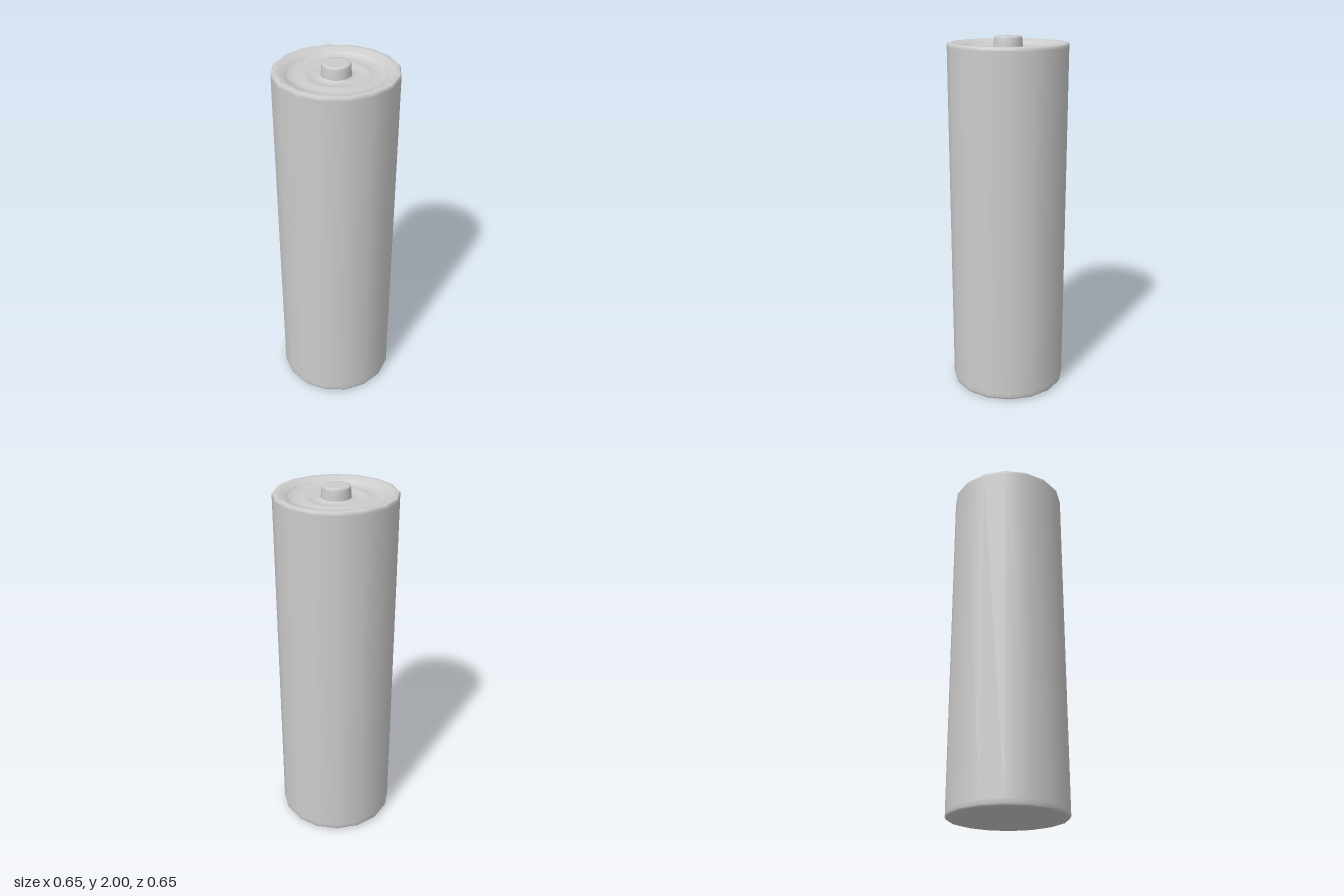
import * as THREE from 'three';

const SIDES = 16;
const material = new THREE.MeshStandardMaterial({ color: 0xcccccc });

// Revolve a profile of [radius, height] pairs around the y axis
function turned(name, profile) {
  const points = profile.map(([r, y]) => new THREE.Vector2(r, y));
  const mesh = new THREE.Mesh(new THREE.LatheGeometry(points, SIDES), material);
  mesh.name = name;
  return mesh;
}

export function createModel() {
  const group = new THREE.Group();
  group.name = 'battery';

  // Flat negative contact and rounded lower edge
  group.add(turned('negativeContact', [[0, 0], [0.21, 0]]));
  group.add(turned('casing', [
    [0.21, 0], [0.3, 0.003], [0.32, 0.008], [0.325, 0.018], [0.325, 0.04],
    // Straight wall, then the rim rolled inwards
    [0.325, 1.945], [0.325, 1.957], [0.318, 1.965], [0.295, 1.966], [0.26, 1.949],
  ]));

  // Recessed top plate with a low circular ridge
  group.add(turned('topPlate', [
    [0.26, 1.949], [0.245, 1.937], [0.215, 1.932], [0.185, 1.934],
    [0.162, 1.942], [0.142, 1.934], [0.115, 1.93], [0.09, 1.931], [0.079, 1.938],
  ]));

  // Positive terminal button
  group.add(turned('positiveTerminal', [
    [0.079, 1.938], [0.077, 1.96], [0.075, 1.99], [0.071, 1.998], [0.06, 2], [0, 2],
  ]));

  return group;
}
